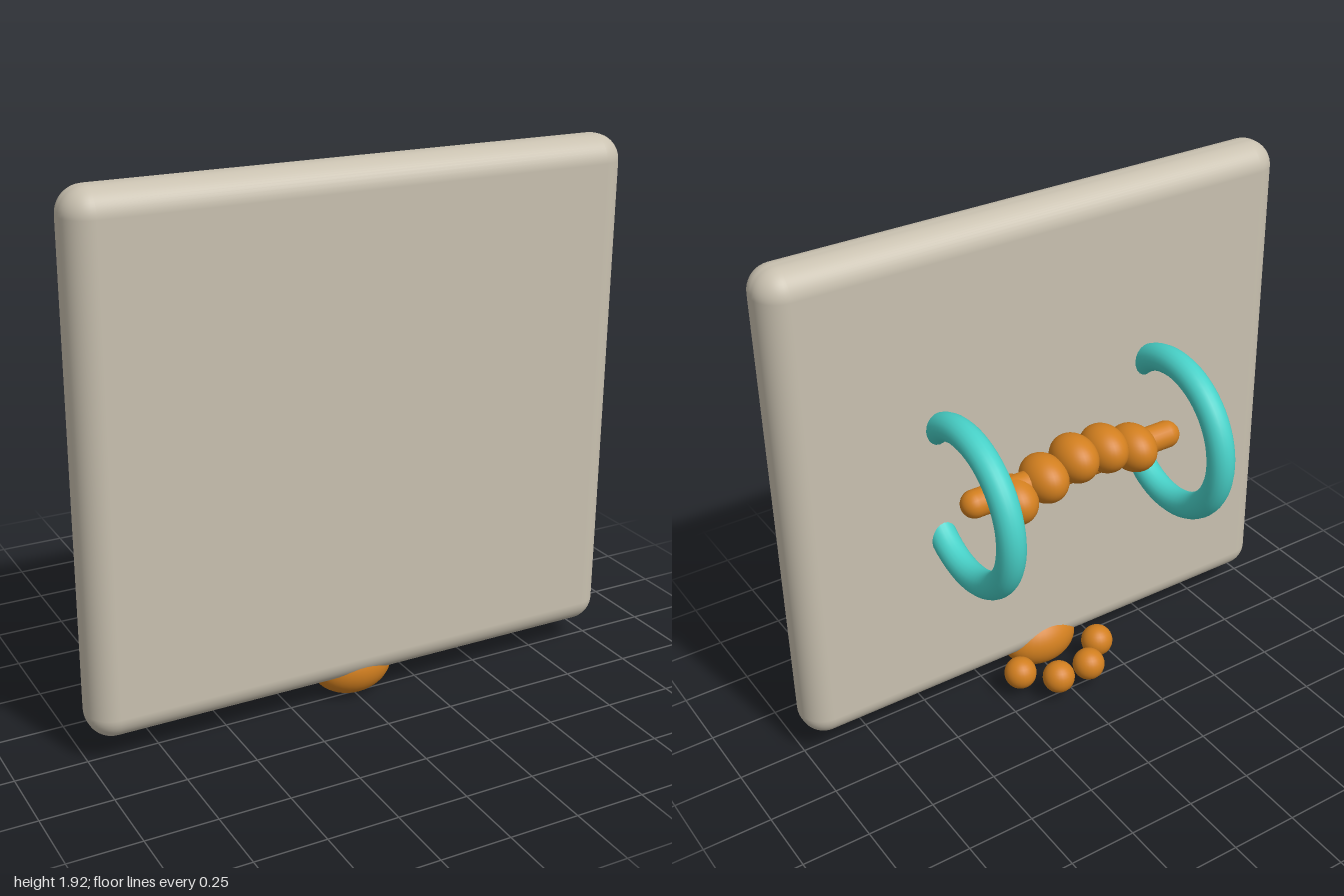
import * as THREE from 'three';
import { RoundedBoxGeometry } from 'three/addons/geometries/RoundedBoxGeometry.js';

export function createModel() {
  const model = new THREE.Group();
  model.name = 'panelWithRings';

  const stone = new THREE.MeshStandardMaterial({ name: 'warm grey', color: 0xc9c1b0 });
  const orange = new THREE.MeshStandardMaterial({ name: 'orange', color: 0xd27f1f });
  const teal = new THREE.MeshStandardMaterial({ name: 'turquoise', color: 0x48d1c8 });

  const add = (name, geometry, material, x, y, z, parent = model) => {
    const mesh = new THREE.Mesh(geometry, material);
    mesh.name = name;
    mesh.position.set(x, y, z);
    parent.add(mesh);
    return mesh;
  };
  const ellipsoid = (rx, ry, rz) => new THREE.SphereGeometry(1, 32, 24).scale(rx, ry, rz);

  // Upright panel with soft edges
  add('panel', new RoundedBoxGeometry(2, 1.83, 0.195, 6, 0.09), stone, 0, 1.005, 0.2475);

  const axisY = 1.005, axisZ = -0.015;

  // Pair of rings, sunk into the back of the panel
  const ringGeometry = new THREE.TorusGeometry(0.28, 0.05, 20, 64).rotateY(Math.PI / 2);
  for (const side of [-1, 1]) {
    add(side > 0 ? 'leftRing' : 'rightRing', ringGeometry, teal, side * 0.43, axisY, axisZ);
  }

  // Round-ended bar between the rings
  const barGeometry = new THREE.CapsuleGeometry(0.05, 0.8, 10, 24).rotateZ(Math.PI / 2);
  add('crossBar', barGeometry, orange, 0, axisY, axisZ);

  // Beads in a wave along the bar
  const beads = new THREE.Group();
  beads.name = 'beads';
  model.add(beads);
  const beadGeometry = ellipsoid(0.08, 0.085, 0.105);
  for (let i = 0; i < 5; i++) {
    add('bead', beadGeometry, orange, -0.25 + i * 0.125, axisY + 0.048 * Math.sin(i), axisZ - 0.005, beads);
  }

  // Paw under the panel: one pad and four toes
  const paw = new THREE.Group();
  paw.name = 'paw';
  model.add(paw);
  add('pad', ellipsoid(0.15, 0.11, 0.112), orange, 0, 0.11, 0.225, paw);
  const toeGeometry = new THREE.SphereGeometry(0.061, 24, 16);
  for (const side of [-1, 1]) {
    add('outerToe', toeGeometry, orange, side * 0.175, 0.1, 0.08, paw);
    add('innerToe', toeGeometry, orange, side * 0.068, 0.1, -0.02, paw);
  }

  return model;
}
